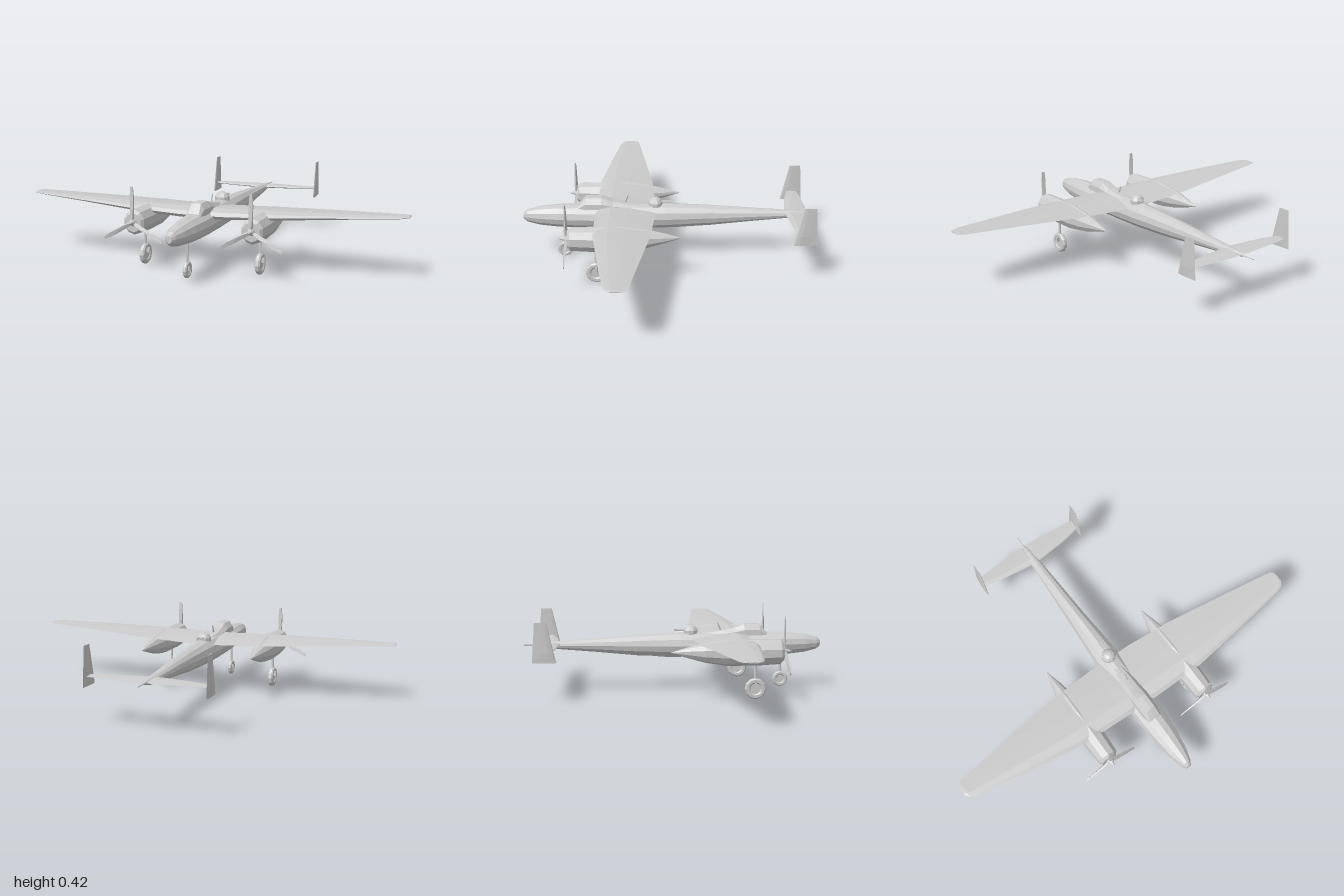
import * as THREE from 'three';

const grey = new THREE.MeshStandardMaterial({ color: 0xcccccc, flatShading: true, side: THREE.DoubleSide });

function add(parent, name, geometry, x = 0, y = 0, z = 0) {
  const mesh = new THREE.Mesh(geometry, grey);
  mesh.name = name;
  mesh.position.set(x, y, z);
  parent.add(mesh);
  return mesh;
}

// Skin a list of equal-length rings of [x, y, z] points and close both ends.
function loft(rings) {
  const n = rings[0].length, tris = [];
  const tri = (a, b, c) => tris.push([a, b, c]);
  for (let r = 0; r < rings.length - 1; r++) {
    for (let i = 0; i < n; i++) {
      const j = (i + 1) % n, A = rings[r], B = rings[r + 1];
      tri(A[i], A[j], B[j]);
      tri(A[i], B[j], B[i]);
    }
  }
  const last = rings[rings.length - 1];
  for (let i = 1; i < n - 1; i++) {
    tri(rings[0][0], rings[0][i + 1], rings[0][i]);
    tri(last[0], last[i], last[i + 1]);
  }
  // A negative volume means the faces point inwards, so turn them round.
  let volume = 0;
  for (const [a, b, c] of tris) {
    volume += a[0] * (b[1] * c[2] - b[2] * c[1]) + a[1] * (b[2] * c[0] - b[0] * c[2]) + a[2] * (b[0] * c[1] - b[1] * c[0]);
  }
  const points = tris.flatMap(([a, b, c]) => (volume < 0 ? [a, c, b] : [a, b, c]));
  const geometry = new THREE.BufferGeometry();
  geometry.setAttribute('position', new THREE.Float32BufferAttribute(points.flat(), 3));
  geometry.computeVertexNormals();
  return geometry;
}

// Body along z from stations [z, centre y, half width, half height].
function body(stations, sides) {
  return loft(stations.map(([z, y, rx, ry]) => Array.from({ length: sides }, (_, i) => {
    const a = (i / sides) * Math.PI * 2 + Math.PI / 2;
    return [rx * Math.cos(a), y + ry * Math.sin(a), z];
  })));
}

// Airfoil panel along x from stations [x, leading z, trailing z, y, half thickness].
const airfoil = [[0, 0], [0.06, 0.6], [0.25, 1], [0.55, 0.75], [1, 0.04], [0.55, -0.7], [0.25, -1], [0.06, -0.6]];
function panel(stations) {
  return loft(stations.map(([x, front, back, y, t]) =>
    airfoil.map(([c, h]) => [x, y + h * t, front + (back - front) * c])));
}

// Tapered propeller blade pointing up.
function blade() {
  return loft([[0, 0.006, 0.006], [0.05, 0.01, 0.005], [0.13, 0.011, 0.003], [0.178, 0.007, 0.002]].map(([y, w, t]) => {
    const twist = 0.5 - y * 1.8;
    return [[-w, -t], [w, -t], [w, t], [-w, t]].map(([x, z]) => [
      x * Math.cos(twist) - z * Math.sin(twist), y, x * Math.sin(twist) + z * Math.cos(twist)]);
  }));
}

function wheel(parent, name, x, y, z, r, width) {
  const geometry = new THREE.LatheGeometry([
    [0, -width * 0.3], [r * 0.5, -width * 0.3], [r * 0.62, -width * 0.5], [r * 0.88, -width * 0.5], [r, -width * 0.22],
    [r, width * 0.22], [r * 0.88, width * 0.5], [r * 0.62, width * 0.5], [r * 0.5, width * 0.3], [0, width * 0.3],
  ].map(([a, b]) => new THREE.Vector2(a, b)), 12);
  geometry.rotateZ(Math.PI / 2);
  add(parent, name, geometry, x, y, z);
}

function rod(parent, name, r, length, x, y, z, alongZ = false) {
  const geometry = new THREE.CylinderGeometry(r, r, length, 6);
  if (alongZ) geometry.rotateX(Math.PI / 2);
  return add(parent, name, geometry, x, y, z);
}

export function createModel() {
  const plane = new THREE.Group();
  plane.name = 'aircraft';

  // Fuselage, tail cone and belly
  add(plane, 'fuselage', body([
    [0.785, 0.238, 0.014, 0.018], [0.765, 0.238, 0.028, 0.034], [0.7, 0.238, 0.048, 0.05], [0.6, 0.238, 0.063, 0.06],
    [0.5, 0.237, 0.07, 0.064], [0.38, 0.237, 0.075, 0.066], [0.2, 0.237, 0.074, 0.067], [0.03, 0.237, 0.066, 0.066],
    [-0.2, 0.237, 0.049, 0.055], [-0.42, 0.24, 0.037, 0.036], [-0.6, 0.242, 0.027, 0.022],
    [-0.67, 0.244, 0.02, 0.017], [-0.73, 0.246, 0.004, 0.005],
  ], 12));
  add(plane, 'bellyFairing', body([
    [0.035, 0.19, 0.03, 0.022], [-0.06, 0.192, 0.028, 0.02], [-0.25, 0.205, 0.015, 0.013],
  ], 8));
  rod(plane, 'tailGun', 0.003, 0.1, 0, 0.246, -0.74, true);

  // Canopy and spine: trapezoid sections [z, top, half width at top, half width at base]
  add(plane, 'canopy', loft([
    [0.495, 0.3, 0.03, 0.04], [0.453, 0.345, 0.024, 0.046], [0.37, 0.346, 0.024, 0.048],
    [0.31, 0.325, 0.024, 0.046], [0.24, 0.312, 0.024, 0.04], [0.13, 0.297, 0.016, 0.03],
  ].map(([z, top, a, b]) => {
    const mid = 0.27 + (top - 0.27) * 0.6;
    return [[-b, 0.27, z], [-b * 0.93, mid, z], [-a, top - 0.002, z], [0, top, z],
      [a, top - 0.002, z], [b * 0.93, mid, z], [b, 0.27, z]];
  })));
  const mast = add(plane, 'antennaMast', new THREE.CylinderGeometry(0.003, 0.006, 0.055, 4), 0, 0.327, 0.241);
  mast.rotation.x = -0.4;

  // Dorsal turret with twin guns
  add(plane, 'turret', new THREE.LatheGeometry([
    [0.038, -0.02], [0.038, 0.022], [0.028, 0.038], [0.012, 0.047], [0, 0.048],
  ].map(([a, b]) => new THREE.Vector2(a, b)), 10), 0, 0.292, 0.087);
  for (const x of [-0.009, 0.009]) rod(plane, 'turretGun', 0.003, 0.06, x, 0.317, 0.03, true);

  // Nose gear
  rod(plane, 'noseStrut', 0.006, 0.15, 0, 0.12, 0.572);
  add(plane, 'noseFork', new THREE.BoxGeometry(0.028, 0.02, 0.01), 0, 0.05, 0.572);
  wheel(plane, 'noseWheel', 0, 0.044, 0.572, 0.041, 0.02);

  for (const s of [1, -1]) {
    const side = new THREE.Group();
    side.name = s > 0 ? 'leftSide' : 'rightSide';
    plane.add(side);

    // Wing
    add(side, 'wing', panel([
      [0, 0.4, 0.09, 0.272, 0.03], [s * 0.12, 0.4, 0.09, 0.274, 0.028], [s * 0.37, 0.394, 0.108, 0.284, 0.022],
      [s * 0.66, 0.354, 0.15, 0.297, 0.013], [s * 0.945, 0.31, 0.192, 0.308, 0.006],
      [s * 0.985, 0.296, 0.2, 0.31, 0.005], [s, 0.278, 0.212, 0.31, 0.003],
    ]));

    // Engine nacelle
    const nacelle = new THREE.Group();
    nacelle.name = 'engine';
    nacelle.position.x = s * 0.305;
    side.add(nacelle);
    add(nacelle, 'nacelle', body([
      [0.525, 0.24, 0.042, 0.048], [0.51, 0.24, 0.055, 0.062], [0.4, 0.238, 0.06, 0.066], [0.24, 0.238, 0.053, 0.066],
      [0.13, 0.24, 0.043, 0.05], [0.04, 0.242, 0.024, 0.027], [-0.042, 0.243, 0.002, 0.002],
    ], 10));
    const nose = new THREE.ConeGeometry(0.024, 0.055, 8);
    nose.rotateX(Math.PI / 2);
    add(nacelle, 'spinner', nose, 0, 0.243, 0.545);
    for (let i = 0; i < 3; i++) {
      add(nacelle, 'propellerBlade', blade(), 0, 0.243, 0.532).rotation.z = (i * Math.PI * 2) / 3;
    }

    // Main gear
    rod(nacelle, 'mainStrut', 0.007, 0.15, 0, 0.145, 0.385);
    add(nacelle, 'mainFork', new THREE.BoxGeometry(0.045, 0.026, 0.01), 0, 0.072, 0.385);
    wheel(nacelle, 'mainWheel', 0, 0.054, 0.385, 0.054, 0.026);

    // Tailplane and end fin
    add(side, 'tailplane', panel([
      [0, -0.595, -0.7, 0.248, 0.01], [s * 0.022, -0.6, -0.722, 0.248, 0.01],
      [s * 0.2, -0.62, -0.71, 0.248, 0.007], [s * 0.308, -0.645, -0.7, 0.248, 0.005],
    ]));
    add(side, 'fin', loft([[0.2, -0.61, -0.73, 0.005], [0.25, -0.622, -0.727, 0.007], [0.4, -0.657, -0.716, 0.003]]
      .map(([y, front, back, t]) => airfoil.map(([c, h]) => [s * 0.308 + h * t, y, front + (back - front) * c]))));
  }
  return plane;
}
